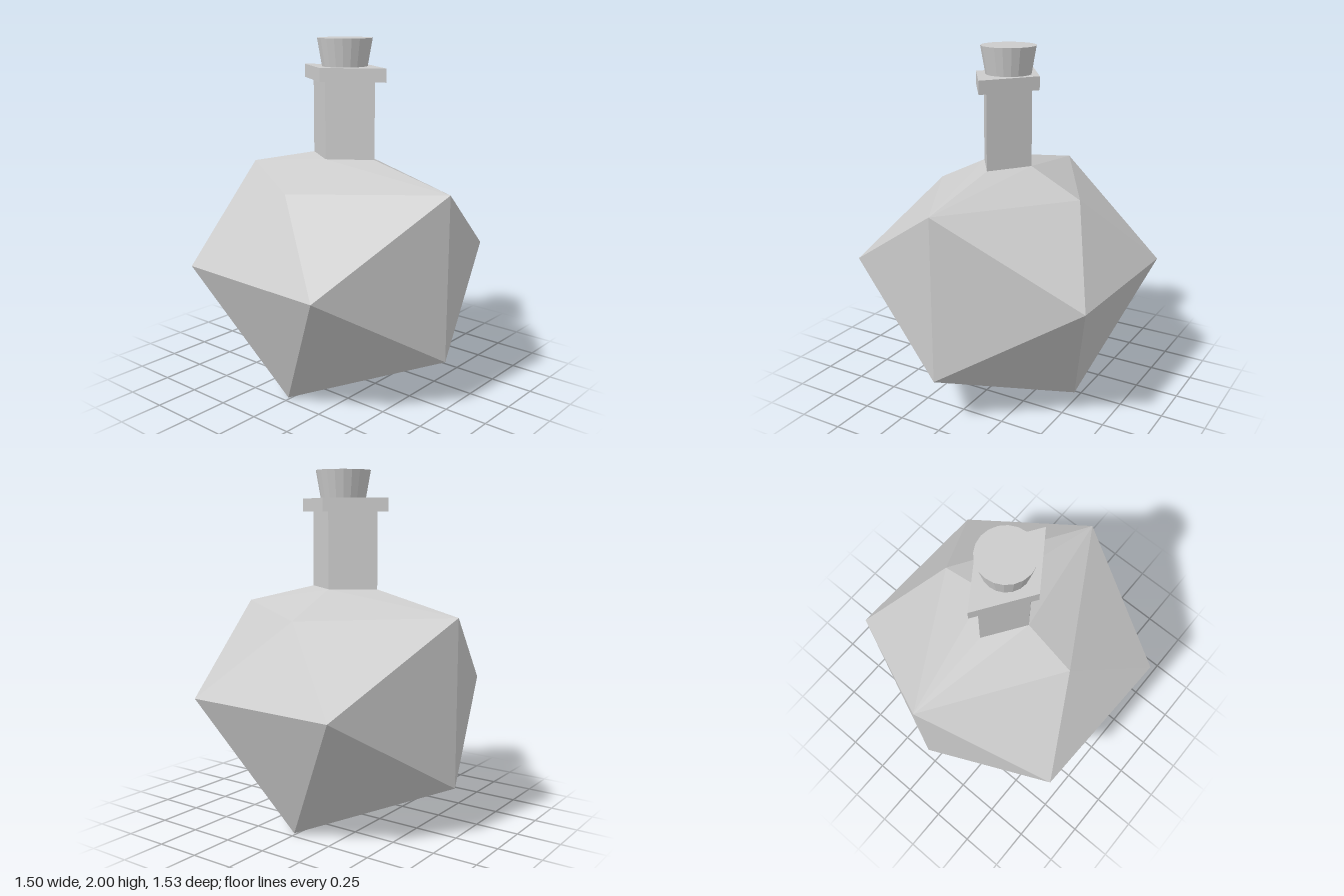
import * as THREE from 'three';
import { ConvexGeometry } from 'three/addons/geometries/ConvexGeometry.js';

const material = new THREE.MeshStandardMaterial({ color: 0xcccccc, flatShading: true });

function part(name, geometry, x = 0, y = 0, z = 0) {
  const mesh = new THREE.Mesh(geometry, material);
  mesh.name = name;
  mesh.position.set(x, y, z);
  return mesh;
}

// Upright prism with a diamond footprint, corners on the x and z axes
function diamondPrism(halfX, halfZ, height) {
  return new THREE.CylinderGeometry(1, 1, height, 4).scale(halfX, 1, halfZ);
}

export function createModel() {
  const model = new THREE.Group();
  model.name = 'potionBottle';

  // Body: icosahedron standing on an edge, top edge pulled down into shoulders
  const mid = 0.755, long = 0.75, short = 0.465;
  const neckX = 0.225, neckZ = 0.155, neckY = 1.34;
  const up = new THREE.Vector3(0, 1, 0);
  const points = [];
  for (const s of [-1, 1]) {
    points.push(new THREE.Vector3(0, 0, s * short));
    points.push(new THREE.Vector3(0, 1.19, s * short));
    for (const t of [-1, 1]) {
      points.push(new THREE.Vector3(s * long, mid + t * short, 0));
      points.push(new THREE.Vector3(s * short, mid, t * long));
    }
  }
  points.forEach((p) => p.applyAxisAngle(up, -0.032));
  // Diamond ring where the shoulders meet the neck
  for (const s of [-1, 1]) {
    points.push(new THREE.Vector3(0.003 + s * neckX, neckY, 0));
    points.push(new THREE.Vector3(0.003, neckY, s * neckZ));
  }
  model.add(part('body', new ConvexGeometry(points)));

  // Neck and lip
  model.add(part('neck', diamondPrism(neckX, neckZ, 0.44), 0.003, neckY + 0.22, 0));
  model.add(part('lip', diamondPrism(0.298, 0.203, 0.075), 0.007, 1.8075, 0));

  // Tapered stopper
  model.add(part('stopper', new THREE.CylinderGeometry(0.155, 0.12, 0.2, 20), 0.006, 1.9, -0.008));

  return model;
}
